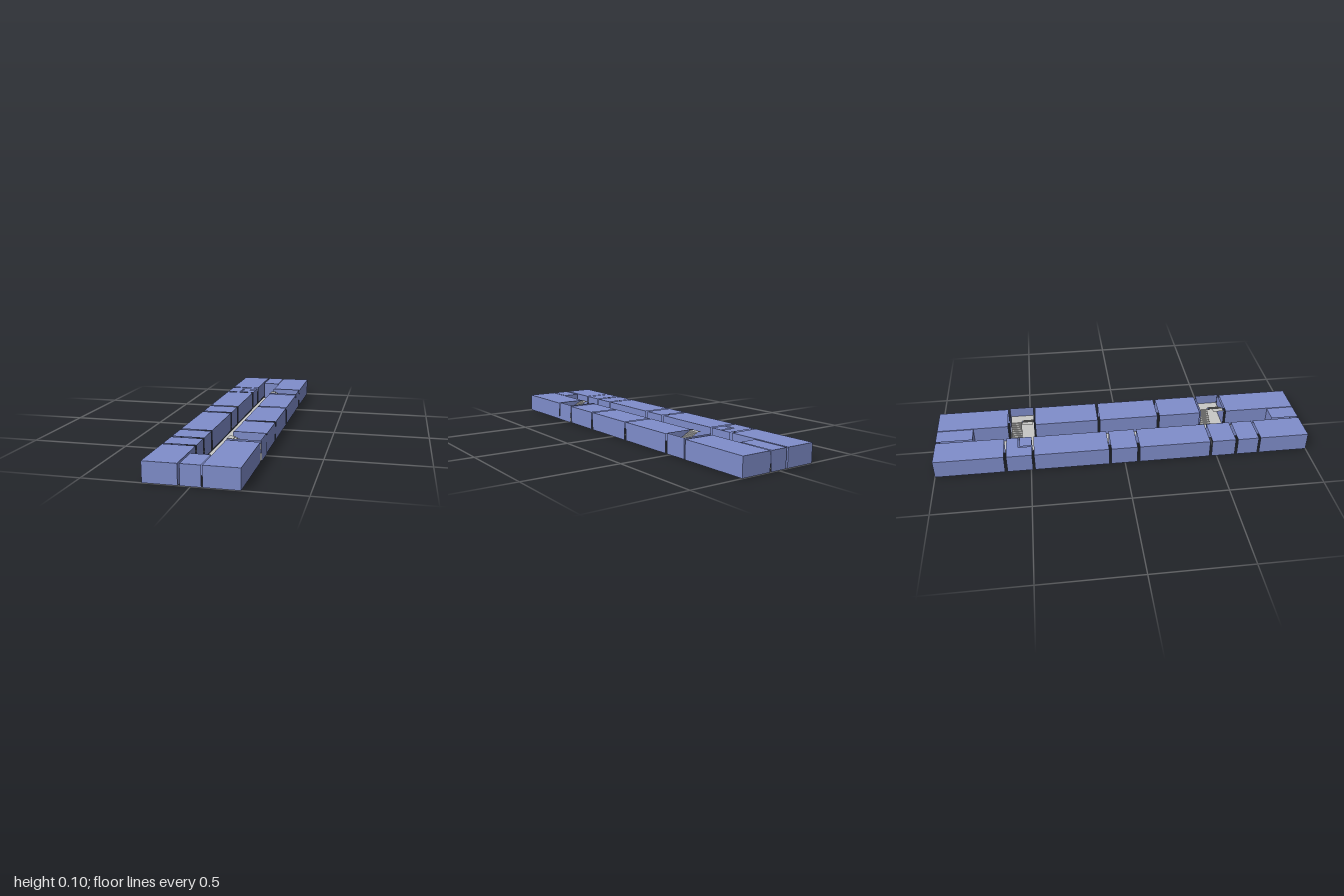
import * as THREE from 'three';
import { mergeGeometries } from 'three/addons/utils/BufferGeometryUtils.js';

const H = 0.098;

// flat four-sided panel, corners counter-clockwise from outside
function quad(a, b, c, d) {
  const g = new THREE.BufferGeometry();
  g.setAttribute('position', new THREE.Float32BufferAttribute([...a, ...b, ...c, ...a, ...c, ...d], 3));
  g.computeVertexNormals();
  return g;
}
const roof = (x0, x1, z0, z1, y = H) =>
  quad([x0, y, z1], [x1, y, z1], [x1, y, z0], [x0, y, z0]);

// wall along z, facing side s in x; foot lets the base lean out
function sideWall(x, z0, z1, s, h = H, foot = 0) {
  const f = x + foot;
  return s > 0
    ? quad([f, 0, z1], [f, 0, z0], [x, h, z0], [x, h, z1])
    : quad([f, 0, z0], [f, 0, z1], [x, h, z1], [x, h, z0]);
}
// wall along x, facing side s in z
function endWall(z, x0, x1, s, h = H) {
  return s > 0
    ? quad([x0, 0, z], [x1, 0, z], [x1, h, z], [x0, h, z])
    : quad([x1, 0, z], [x0, 0, z], [x0, h, z], [x1, h, z]);
}

export function createModel() {
  const model = new THREE.Group();
  const blue = new THREE.MeshStandardMaterial({ color: 0x7f8dcb, side: THREE.DoubleSide });
  blue.name = 'room blue';
  const grey = new THREE.MeshStandardMaterial({ color: 0xc8c8c6, side: THREE.DoubleSide });
  grey.name = 'floor grey';

  const add = (name, parts, material, parent = model) => {
    const mesh = new THREE.Mesh(mergeGeometries(parts), material);
    mesh.name = name;
    parent.add(mesh);
    return mesh;
  };

  // rows of rooms: open below, joined inside, narrow gaps between neighbours
  function room(name, x0, x1, z0, z1, roofs) {
    const parts = roofs || [roof(x0, x1, z0, z1)];
    parts.push(sideWall(x0, z0, z1, -1), sideWall(x1, z0, z1, 1));
    if (z0 < -0.99) parts.push(endWall(z0, x0, x1, -1));
    if (z1 > 0.99) parts.push(endWall(z1, x0, x1, 1));
    add(name, parts, blue);
  }
  const leftRow = [[-1, -0.617], [-0.467, -0.12], [-0.108, 0.217], [0.229, 0.46], [0.61, 1]];
  leftRow.forEach(([a, b], i) => room('leftRoom' + (i + 1), 0.052, 0.217, a, b));

  const rightRow = [[-1, -0.637], [-0.624, -0.49], [-0.479, -0.085], [-0.073, 0.067],
    [0.079, 0.46], [0.472, 0.6], [0.612, 0.726], [0.736, 1]];
  rightRow.forEach(([a, b], i) => {
    // the second room wraps around a small cupboard
    const roofs = i === 1 ? [
      roof(-0.217, -0.142, a, b), roof(-0.142, -0.057, a, -0.563), roof(-0.135, -0.057, -0.555, b),
    ] : null;
    room('rightRoom' + (i + 1), -0.217, -0.057, a, b, roofs);
  });

  // rooms closing both ends of the corridor
  add('backEndRoom', [roof(-0.047, 0.047, -1, -0.805),
    endWall(-1, -0.047, 0.047, -1), endWall(-0.805, -0.047, 0.047, 1)], blue);
  add('frontEndRoom', [roof(-0.047, 0.047, 0.85, 1),
    endWall(1, -0.047, 0.047, 1), endWall(0.85, -0.047, 0.047, -1)], blue);

  // corridor floor
  add('corridorFloor', [roof(-0.052, 0.05, -0.8, 0.845, 0.001)], grey);

  // stairwells with two flights and a half landing
  function stairwell(name, z0, z1, foot) {
    const group = new THREE.Group();
    group.name = name;
    const h = 0.103, mid = (z0 + z1) / 2, n = 8;
    add('stairwellWalls', [endWall(z0, 0.052, 0.216, -1, h), endWall(z1, 0.052, 0.216, 1, h),
      sideWall(0.216, z0, z1, 1, h, foot)], blue, group);
    add('stairwellFloor', [roof(0.05, 0.216, z0, z1, 0.001)], grey, group);
    const steps = [];
    const run = (0.16 - 0.07) / n, rise = 0.05 / n;
    for (let i = 0; i < n; i++) {
      for (const upper of [false, true]) {
        const x = upper ? 0.16 - (i + 1) * run : 0.07 + i * run;
        const y = (upper ? 0.05 : 0) + i * rise;
        const za = upper ? mid + 0.004 : z0 + 0.004, zb = upper ? z1 - 0.004 : mid - 0.004;
        steps.push(roof(x, x + run, za, zb, y + rise));
        const xr = upper ? x + run : x;
        steps.push(quad([xr, y, za], [xr, y, zb], [xr, y + rise, zb], [xr, y + rise, za]));
      }
    }
    add('stairFlights', steps, grey, group);
    add('halfLanding', [roof(0.16, 0.212, z0 + 0.004, z1 - 0.004, 0.05)], grey, group);
    add('upperLanding', [roof(0.052, 0.07, mid + 0.004, z1 - 0.004, 0.1)], grey, group);
    model.add(group);
  }
  stairwell('backStairwell', -0.607, -0.475, 0);
  stairwell('frontStairwell', 0.468, 0.6, 0.005);

  return model;
}
